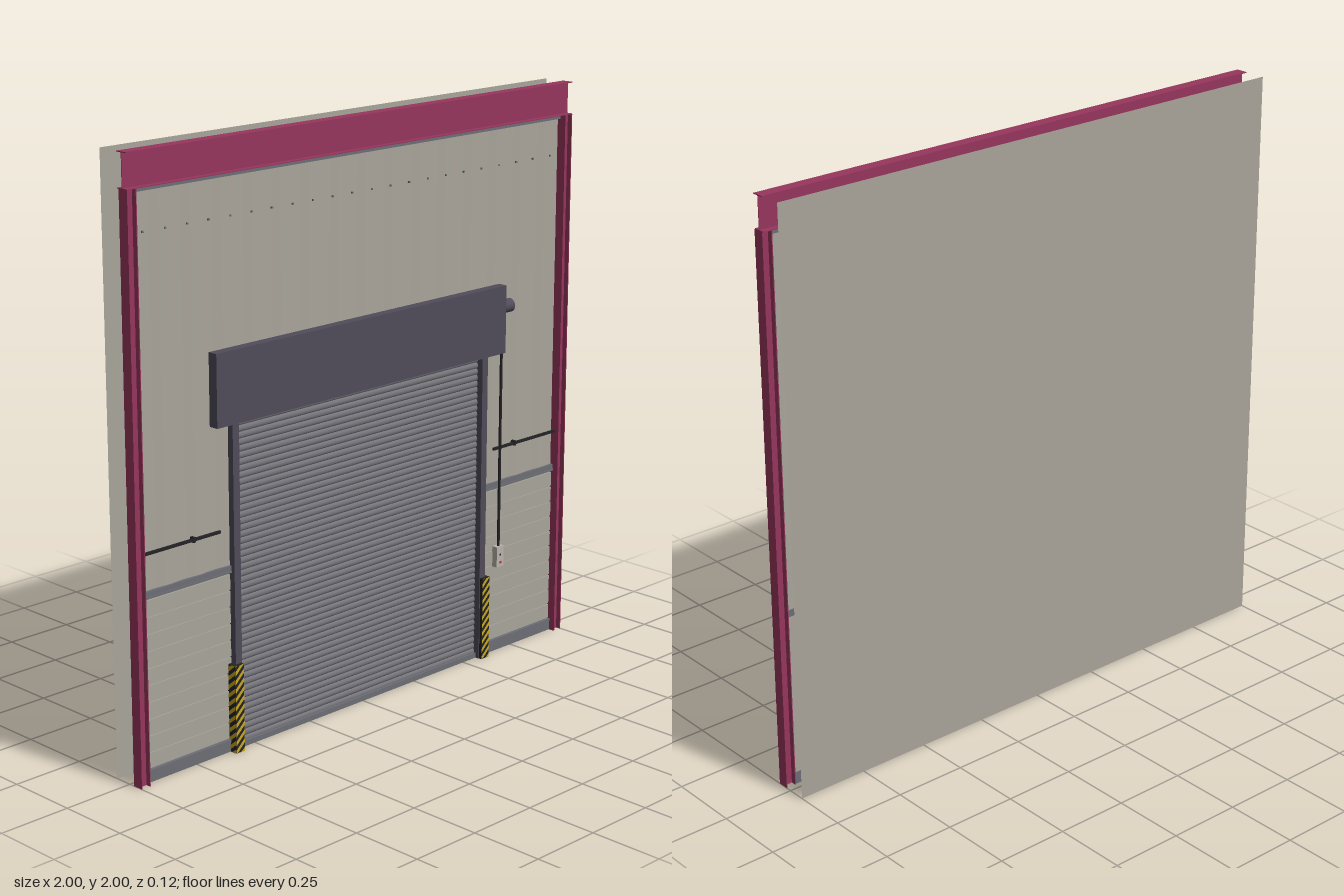
import * as THREE from 'three';

const mat = (name, color, side = THREE.FrontSide) => {
  const m = new THREE.MeshStandardMaterial({ color, side });
  m.name = name;
  return m;
};

export function createModel() {
  const root = new THREE.Group();
  root.name = 'rollerDoorWall';

  const steel = mat('crimson steel', 0x97365d);
  const cladding = mat('warm grey cladding', 0xa9a59b, THREE.DoubleSide);
  const housing = mat('dark violet grey', 0x504c5a);
  const slat = mat('slat grey', 0x75757b, THREE.DoubleSide);
  const trim = mat('trim grey', 0x6d6e76);
  const black = mat('black', 0x242426);
  const yellow = mat('hazard yellow', 0xc9a820, THREE.DoubleSide);
  const pale = mat('pale grey', 0xb9b5ab);
  const red = mat('button red', 0xb02a2a);

  const add = (name, geo, m, parent = root) => {
    const mesh = new THREE.Mesh(geo, m);
    mesh.name = name;
    parent.add(mesh);
    return mesh;
  };
  // Box given by its extents on each axis
  const box = (name, m, x0, x1, y0, y1, z0, z1, parent = root) => {
    const mesh = add(name, new THREE.BoxGeometry(x1 - x0, y1 - y0, z1 - z0), m, parent);
    mesh.position.set((x0 + x1) / 2, (y0 + y1) / 2, (z0 + z1) / 2);
    return mesh;
  };
  // Sheet whose depth follows a rule of x and y
  const sheet = (name, m, x0, x1, y0, y1, nx, ny, depth) => {
    const g = new THREE.PlaneGeometry(x1 - x0, y1 - y0, nx, ny);
    g.translate((x0 + x1) / 2, (y0 + y1) / 2, 0);
    const p = g.attributes.position;
    for (let i = 0; i < p.count; i++) p.setZ(i, depth(p.getX(i), p.getY(i)));
    g.computeVertexNormals();
    return add(name, g, m);
  };

  // Flat rear wall sheet
  sheet('rearWall', cladding, -1, 1, 0, 2, 1, 1, () => -0.062);

  // Header beam with an I section
  const beam = new THREE.Group();
  beam.name = 'headerBeam';
  root.add(beam);
  box('beamWeb', steel, -1, 1, 1.89, 2, 0.034, 0.036, beam);
  box('beamTopFlange', steel, -1, 1, 1.997, 2, 0.014, 0.056, beam);
  box('beamBottomFlange', steel, -1, 1, 1.888, 1.891, 0.014, 0.056, beam);

  // Corrugated upper cladding
  const wave = (x) => 0.026 + 0.002 * Math.sin((x * Math.PI * 2) / 0.125);
  sheet('upperCladding', cladding, -0.965, 0.965, 1.1, 1.888, 180, 1, wave);

  const plankPitch = 0.056;
  for (const s of [-1, 1]) {
    const span = (a, b) => (s > 0 ? [a, b] : [-b, -a]);
    const sideBox = (name, m, a, b, ...rest) => box(name, m, ...span(a, b), ...rest);

    // Columns with an I section
    sideBox('columnWeb', steel, 0.965, 1, 0, 1.888, 0.038, 0.041);
    sideBox('columnOuterFlange', steel, 0.997, 1, 0, 1.888, 0.02, 0.058);
    sideBox('columnInnerFlange', steel, 0.964, 0.967, 0, 1.888, 0.02, 0.058);

    // Wall beside the door: corrugated above, planks below
    sheet('sideCladding', cladding, ...span(0.585, 0.965), 0.63, 1.1, 40, 1, wave);
    sheet('plankBacking', cladding, ...span(0.585, 0.965), 0, 0.63, 1, 1, () => 0.024);
    for (let y = 0.044; y < 0.6; y += plankPitch) {
      const top = Math.min(y + plankPitch - 0.005, 0.607);
      sideBox('wallPlank', cladding, 0.585, 0.965, y, top, 0.025, 0.029);
    }
    sideBox('middleTrim', trim, 0.585, 0.965, 0.607, 0.63, 0.022, 0.035);
    sideBox('middleTrimLip', trim, 0.585, 0.965, 0.607, 0.613, 0.035, 0.038);
    sideBox('baseTrim', trim, 0.585, 0.965, 0, 0.033, 0.022, 0.035);
    sideBox('baseTrimLip', trim, 0.585, 0.965, 0.033, 0.042, 0.022, 0.038);

    // Rail on the side wall
    sideBox('wallRail', black, 0.64, 0.965, 0.75, 0.759, 0.034, 0.042);
    sideBox('wallRailBracket', black, 0.745, 0.755, 0.746, 0.763, 0.026, 0.043);

    // Door guide
    sideBox('doorGuide', housing, 0.565, 0.592, 0, 1.18, 0.014, 0.05);

    // Hazard guard with diagonal stripes on front and outer side
    sideBox('hazardGuard', black, 0.568, 0.605, 0, 0.3, 0.02, 0.061);
    const stripes = (name, width, place) => {
      const pitch = 0.03, rise = 0.034;
      for (let y = -rise; y < 0.3; y += pitch) {
        const clampY = (v) => Math.min(0.3, Math.max(0, v));
        const shape = new THREE.Shape();
        const n = 4;
        for (let i = 0; i <= n; i++) {
          const px = (i / n - 0.5) * width, py = clampY(y + (rise * i) / n);
          i ? shape.lineTo(px, py) : shape.moveTo(px, py);
        }
        for (let i = n; i >= 0; i--) {
          shape.lineTo((i / n - 0.5) * width, clampY(y + (rise * i) / n + pitch * 0.5));
        }
        place(add(name, new THREE.ShapeGeometry(shape), yellow));
      }
    };
    stripes('frontHazardStripe', 0.037, (m) => m.position.set(s * 0.5865, 0, 0.0622));
    stripes('sideHazardStripe', 0.041, (m) => {
      m.position.set(s * 0.6062, 0, 0.0405);
      m.rotation.y = s * Math.PI / 2;
    });
  }

  // Eaves trim under the header beam
  box('eavesTrim', trim, -0.965, 0.965, 1.874, 1.888, 0.022, 0.036);

  // Row of cladding fixings
  for (let i = 0; i < 22; i++) {
    const x = -0.92 + (i * 1.84) / 21;
    box('claddingFixing', trim, x - 0.003, x + 0.003, 1.747, 1.753, 0.024, 0.031);
  }

  // Roller curtain: one curved strip per slat
  const slats = 50, pitch = 1.09 / slats;
  const curtain = new THREE.Group();
  curtain.name = 'rollerCurtain';
  root.add(curtain);
  for (let i = 0; i < slats; i++) {
    const g = new THREE.CylinderGeometry(pitch / 2, pitch / 2, 1.13, 6, 1, true, 0, Math.PI);
    g.rotateZ(Math.PI / 2);
    g.rotateX(Math.PI / 2);
    // Keep the bulge on the front whichever way the half cylinder opened
    g.computeBoundingBox();
    if (g.boundingBox.max.z < 1e-4) g.rotateX(Math.PI);
    g.computeBoundingBox();
    const dy = -(g.boundingBox.min.y + g.boundingBox.max.y) / 2;
    g.scale(1, 1, 0.6);
    add('doorSlat', g, slat, curtain).position.set(0, 0.01 + pitch * (i + 0.5) + dy, 0.022);
  }
  box('curtainBacking', trim, -0.565, 0.565, 0.01, 1.18, 0.012, 0.022);
  box('bottomBar', trim, -0.565, 0.565, 0, 0.018, 0.014, 0.036);

  // Roller housing
  box('rollerHousing', housing, -0.667, 0.667, 1.1, 1.338, 0.028, 0.063);

  // Drive motor and its cable
  const motor = add('motor', new THREE.CylinderGeometry(0.024, 0.024, 0.06, 20), housing);
  motor.rotation.z = Math.PI / 2;
  motor.position.set(0.695, 1.255, 0.029);
  const cable = add('controlCable', new THREE.CylinderGeometry(0.005, 0.005, 0.85, 8), black);
  cable.position.set(0.672, 0.815, 0.04);

  // Control box with button
  box('controlBox', pale, 0.654, 0.69, 0.318, 0.393, 0.028, 0.05);
  box('controlButton', red, 0.669, 0.675, 0.331, 0.338, 0.05, 0.053);
  box('controlKey', black, 0.669, 0.675, 0.36, 0.366, 0.05, 0.052);

  return root;
}
